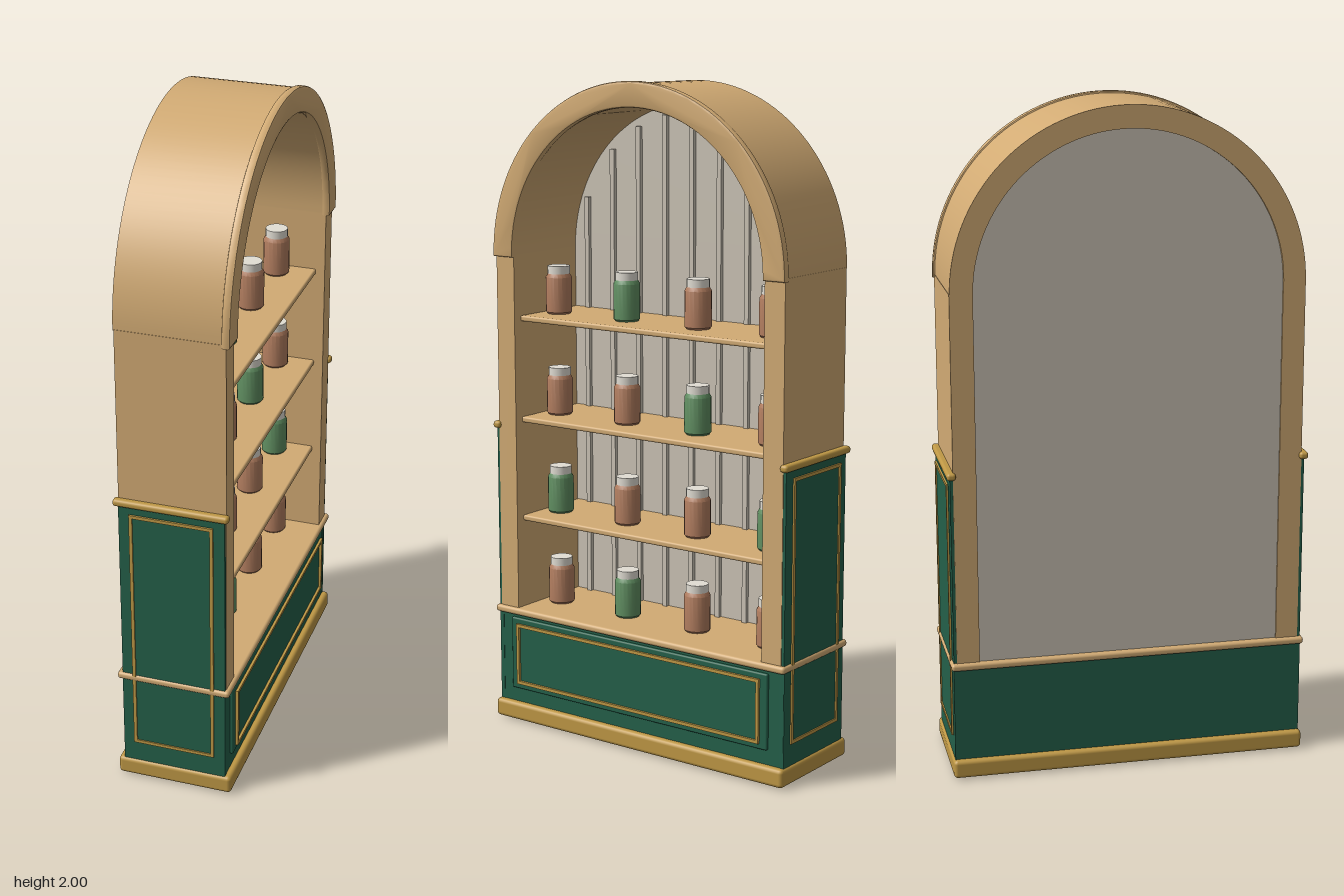
import * as THREE from 'three';
import { toCreasedNormals } from 'three/addons/utils/BufferGeometryUtils.js';
import { RoundedBoxGeometry } from 'three/addons/geometries/RoundedBoxGeometry.js';

const paint = (name, color) => {
  const m = new THREE.MeshStandardMaterial({ color });
  m.name = name;
  return m;
};

export function createModel() {
  const wood = paint('tanWood', 0xd2ab74);
  const gold = paint('gold', 0xbf9845);
  const green = paint('green', 0x24604a);
  const backing = paint('paleBacking', 0xcbc3b5);
  const brownJar = paint('brownJar', 0xb07c5e);
  const greenJar = paint('greenJar', 0x5f8d60);
  const lidPaint = paint('lidWhite', 0xe2ded4);

  // Built facing +z with its width along x, then turned to face +x
  const cabinet = new THREE.Group();
  cabinet.name = 'displayCabinet';

  const add = (name, geometry, material, parent = cabinet) => {
    const mesh = new THREE.Mesh(geometry, material);
    mesh.name = name;
    parent.add(mesh);
    return mesh;
  };
  // Box given by its limits, optionally with rounded edges
  const box = (name, material, x0, x1, y0, y1, z0, z1, round = 0, parent = cabinet) => {
    const s = [x1 - x0, y1 - y0, z1 - z0];
    const g = round ? new RoundedBoxGeometry(...s, 2, round) : new THREE.BoxGeometry(...s);
    g.translate((x0 + x1) / 2, (y0 + y1) / 2, (z0 + z1) / 2);
    return add(name, g, material, parent);
  };
  // Rectangular moulding in the xy plane
  const frame = (name, w, h, depth, bar) => {
    const group = new THREE.Group();
    group.name = name;
    for (const s of [-1, 1]) {
      const x = s * (w / 2 - bar / 2), y = s * (h / 2 - bar / 2);
      box('sideBar', gold, x - bar / 2, x + bar / 2, -h / 2, h / 2, 0, depth, 0, group);
      box('crossBar', gold, -w / 2 + bar, w / 2 - bar, y - bar / 2, y + bar / 2, 0, depth, 0, group);
    }
    return group;
  };

  // Plinth, lower cupboard and counter
  box('plinth', gold, -0.54, 0.54, 0.004, 0.06, -0.178, 0.175, 0.012);
  box('lowerCupboard', green, -0.533, 0.533, 0.055, 0.35, -0.16, 0.155);
  box('frontPanel', green, -0.48, 0.48, 0.105, 0.335, 0.15, 0.164, 0.005);
  const frontTrim = frame('frontTrim', 0.91, 0.195, 0.009, 0.01);
  frontTrim.position.set(0, 0.22, 0.163);
  cabinet.add(frontTrim);
  box('counter', wood, -0.54, 0.54, 0.345, 0.367, -0.175, 0.17, 0.009);

  // Uprights with green side panels, gold trim and cap rails
  for (const s of [-1, 1]) {
    const span = (a, b) => (s > 0 ? [a, b] : [-b, -a]);
    box('upright', wood, ...span(0.455, 0.523), 0.36, 1.475, -0.162, 0.158);
    box('sidePanel', green, ...span(0.518, 0.532), 0.06, 0.935, -0.16, 0.156);
    box('raisedSidePanel', green, ...span(0.525, 0.535), 0.13, 0.91, -0.125, 0.12);
    box('sideCap', gold, ...span(0.515, 0.542), 0.932, 0.954, -0.175, 0.168, 0.009);
    const trim = frame('sideTrim', 0.25, 0.785, 0.005, 0.01);
    trim.rotation.y = s * Math.PI / 2;
    trim.position.set(s * 0.534, 0.518, -0.002);
    cabinet.add(trim);
  }

  // Vaulted arch and its front lip
  const archY = 1.472;
  const halfRing = (outer, inner, z0, z1, bevel) => {
    const shape = new THREE.Shape();
    shape.absarc(0, 0, outer - bevel, 0, Math.PI, false);
    shape.absarc(0, 0, inner + bevel, Math.PI, 0, true);
    shape.closePath();
    const g = new THREE.ExtrudeGeometry(shape, {
      depth: z1 - z0 - 2 * bevel, curveSegments: 32, bevelEnabled: bevel > 0,
      bevelSize: bevel, bevelThickness: bevel, bevelSegments: 2,
    });
    g.translate(0, archY, z0 + bevel);
    return toCreasedNormals(g, 0.6);
  };
  add('archVault', halfRing(0.522, 0.455, -0.165, 0.148, 0), wood);
  add('archLip', halfRing(0.528, 0.453, 0.144, 0.17, 0.007), wood);

  // Arched back board
  const board = new THREE.Shape();
  board.moveTo(-0.46, 0);
  board.lineTo(0.46, 0);
  board.lineTo(0.46, archY);
  board.absarc(0, archY, 0.46, 0, Math.PI, false);
  board.closePath();
  const boardGeo = new THREE.ExtrudeGeometry(board, { depth: 0.018, curveSegments: 32, bevelEnabled: false });
  boardGeo.translate(0, 0, -0.157);
  add('backBoard', toCreasedNormals(boardGeo, 0.6), backing);

  // Vertical battens following the arch
  for (let i = -4; i <= 4; i++) {
    const x = i * 0.1;
    const top = archY + Math.sqrt(0.43 ** 2 - x * x);
    box('batten', backing, x - 0.008, x + 0.008, 0.36, top, -0.14, -0.127);
  }

  // Shelves
  for (const y of [0.642, 0.953, 1.267])
    box('shelf', wood, -0.457, 0.457, y, y + 0.018, -0.145, 0.13, 0.006);

  // Jars: rows from top to bottom, b = brown, g = green
  const bodyGeo = new THREE.LatheGeometry(
    [[0, 0], [0.035, 0], [0.04, 0.006], [0.04, 0.112], [0.033, 0.124], [0, 0.124]]
      .map(([r, y]) => new THREE.Vector2(r, y)), 20);
  const jarGeo = toCreasedNormals(bodyGeo, 0.6);
  const lidGeo = new THREE.CylinderGeometry(0.034, 0.034, 0.024, 20);
  lidGeo.translate(0, 0.135, 0);
  const rows = [['bgbb', 1.285], ['bbgb', 0.971], ['gbbg', 0.66], ['bgbb', 0.367]];
  for (const [row, y] of rows)
    [...row].forEach((c, i) => {
      const jar = new THREE.Group();
      jar.name = 'jar';
      add('jarBody', jarGeo, c === 'g' ? greenJar : brownJar, jar);
      add('jarLid', lidGeo, lidPaint, jar);
      jar.position.set(-0.393 + i * 0.262, y, 0.02);
      cabinet.add(jar);
    });

  cabinet.rotation.y = Math.PI / 2;
  const model = new THREE.Group();
  model.name = 'archedDisplayCabinet';
  model.add(cabinet);
  return model;
}
